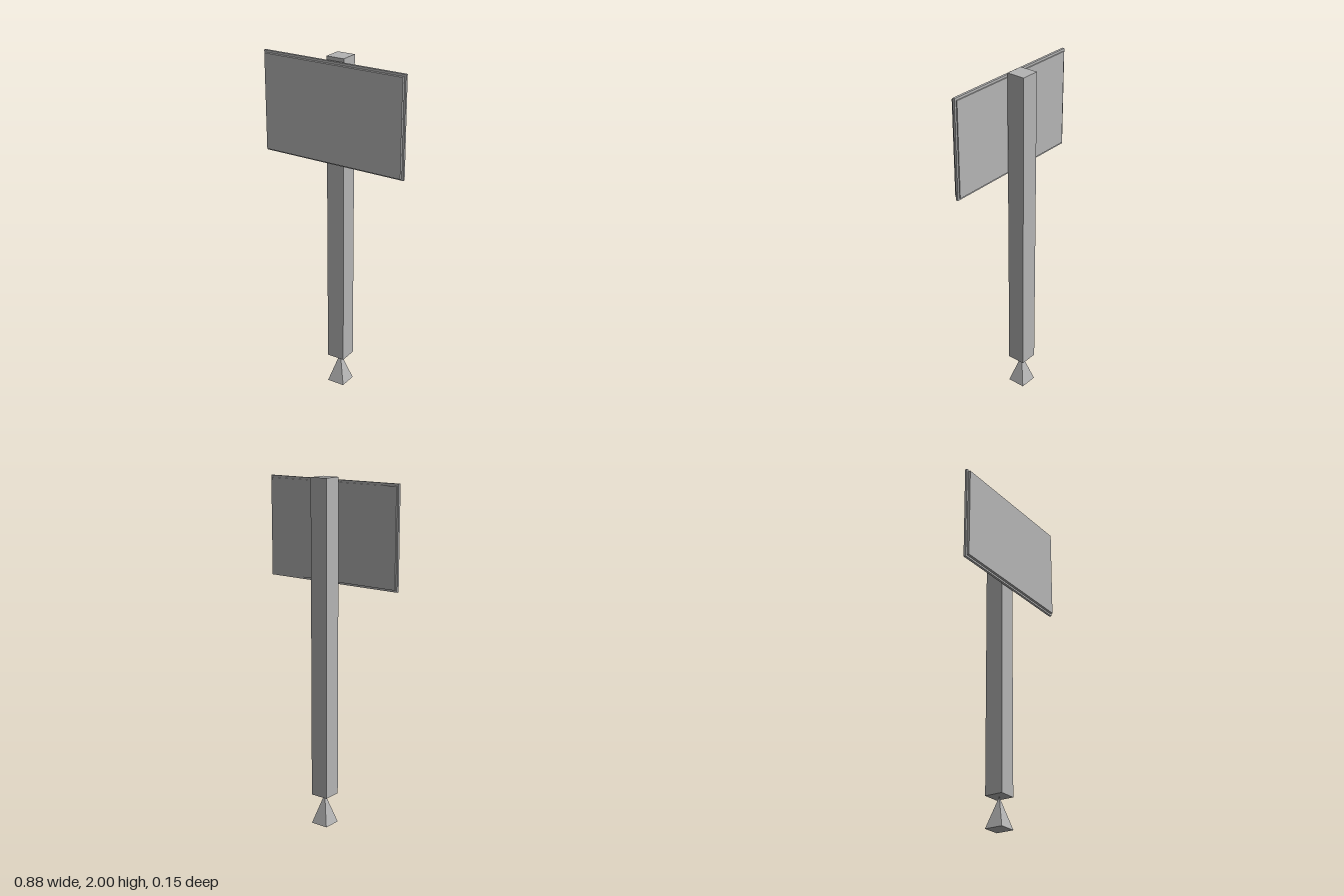
import * as THREE from 'three';

export function createModel() {
  const group = new THREE.Group();
  const grey = new THREE.MeshStandardMaterial({ color: 0xb4b4b4 });
  grey.name = 'grey';
  grey.flatShading = true;

  const add = (name, geometry, x, y, z) => {
    const mesh = new THREE.Mesh(geometry, grey);
    mesh.name = name;
    mesh.position.set(x, y, z);
    group.add(mesh);
    return mesh;
  };
  // Box given by its width and its y and z extents
  const slab = (name, width, y0, y1, z0, z1) =>
    add(name, new THREE.BoxGeometry(width, y1 - y0, z1 - z0), 0, (y0 + y1) / 2, (z0 + z1) / 2);

  const postWidth = 0.107, postBottom = 0.178, postZ = -0.0205;

  // Square post
  slab('post', postWidth, postBottom, 2, postZ - postWidth / 2, postZ + postWidth / 2);

  // Pyramid foot, its tip touching the underside of the post
  const foot = new THREE.ConeGeometry(postWidth / Math.SQRT2, postBottom, 4);
  foot.rotateY(Math.PI / 4);
  add('foot', foot, 0, postBottom / 2, postZ);

  // Sign panel with a slightly larger rim around it
  slab('signPanel', 0.854, 1.424, 1.971, 0.0385, 0.074);
  slab('signRim', 0.876, 1.413, 1.984, 0.045, 0.059);

  return group;
}
